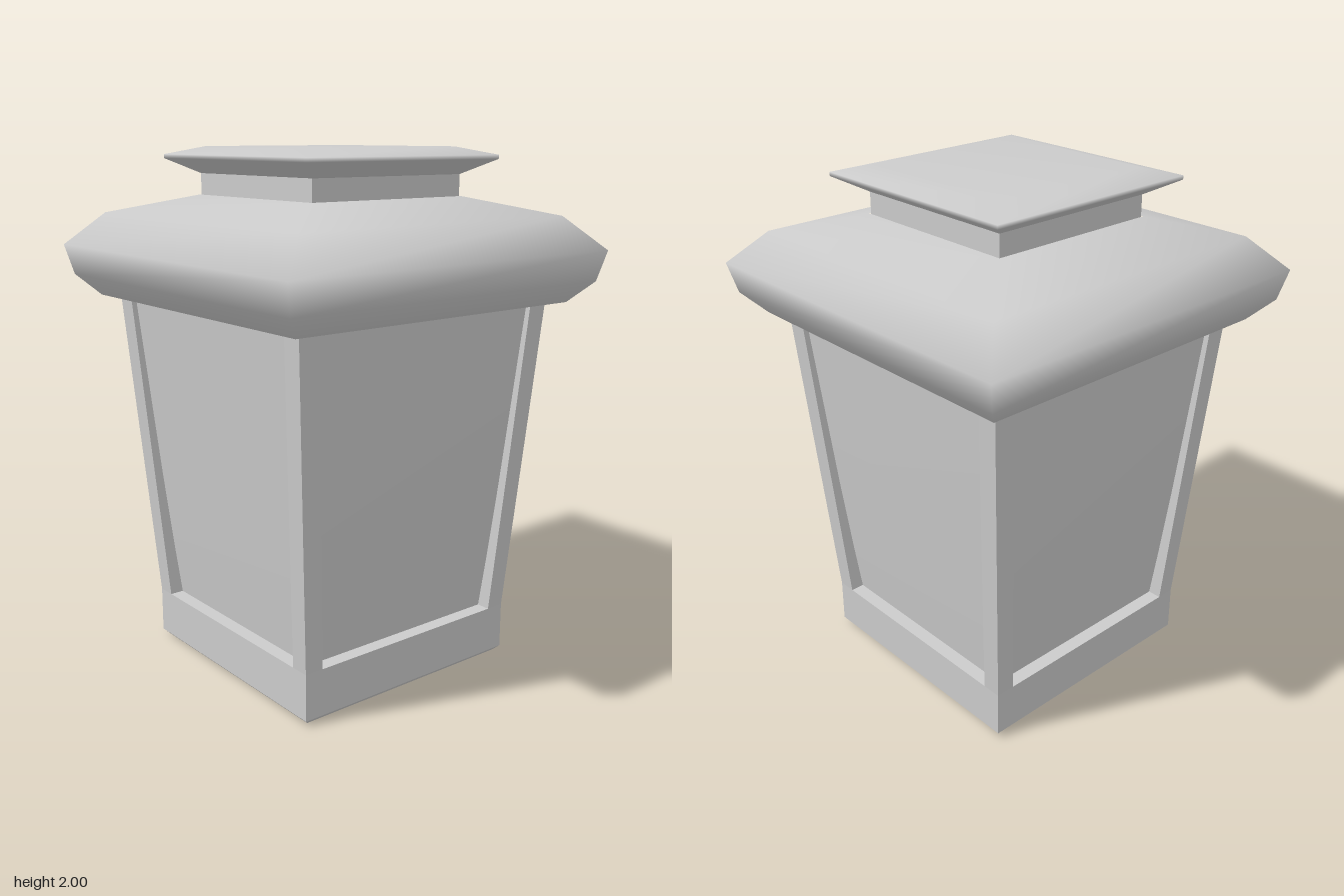
import * as THREE from 'three';
import { toCreasedNormals } from 'three/addons/utils/BufferGeometryUtils.js';

const material = new THREE.MeshStandardMaterial({ color: 0xcccccc });
const CORNERS = [[1, 1], [1, -1], [-1, -1], [-1, 1]];

// Loft through horizontal squares, each given as [halfWidth, y, centreX, centreZ].
function loft(rings, { bottom = true, top = true, smooth = false } = {}) {
  const positions = [], index = [];
  for (const [half, y, cx = 0, cz = 0] of rings) {
    for (const [sx, sz] of CORNERS) positions.push(cx + sx * half, y, cz + sz * half);
  }
  const quad = (a, b, c, d) => index.push(a, b, c, a, c, d);
  const last = (rings.length - 1) * 4;
  for (let r = 0; r < last; r += 4) {
    for (let i = 0; i < 4; i++) {
      const j = (i + 1) % 4;
      quad(r + i, r + j, r + 4 + j, r + 4 + i);
    }
  }
  if (bottom) quad(3, 2, 1, 0);
  if (top) quad(last, last + 1, last + 2, last + 3);
  const geometry = new THREE.BufferGeometry();
  geometry.setAttribute('position', new THREE.Float32BufferAttribute(positions, 3));
  geometry.setIndex(index);
  geometry.computeVertexNormals();
  return smooth ? geometry : toCreasedNormals(geometry, 0.5);
}

export function createModel() {
  const model = new THREE.Group();
  model.name = 'squareLantern';
  const add = (name, geometry) => {
    const mesh = new THREE.Mesh(geometry, material);
    mesh.name = name;
    model.add(mesh);
    return mesh;
  };

  // Base block with a small chamfer at the foot
  add('base', loft([[0.475, 0], [0.495, 0.02], [0.495, 0.2]]));

  // Recessed panes, deepest at the bottom
  add('panes', loft([[0.44, 0.2], [0.463, 0.4], [0.494, 0.7], [0.56, 1.43]], { bottom: false, top: false }));

  // Four flaring corner posts
  CORNERS.forEach(([sx, sz], i) => {
    const section = (outer, inner, y) => {
      const centre = (outer + inner) / 2;
      return [(outer - inner) / 2, y, sx * centre, sz * centre];
    };
    add(`cornerPost${i + 1}`, loft([section(0.495, 0.42, 0.2), section(0.58, 0.5, 1.43)]));
  });

  // Bulging roof with soft corners and a flat underside
  add('roof', loft(
    [[0.635, 1.43], [0.71, 1.51], [0.737, 1.625], [0.615, 1.75], [0.35, 1.82]],
    { bottom: false, top: false, smooth: true },
  ));
  const underside = add('roofUnderside', new THREE.PlaneGeometry(1.27, 1.27));
  underside.rotation.x = Math.PI / 2;
  underside.position.y = 1.43;

  // Neck and overhanging cap
  add('neck', loft([[0.345, 1.81], [0.345, 1.905]], { bottom: false, top: false }));
  add('cap', loft([[0.345, 1.9], [0.445, 1.955], [0.445, 1.97], [0.33, 2]], { bottom: false, smooth: true }));

  return model;
}
